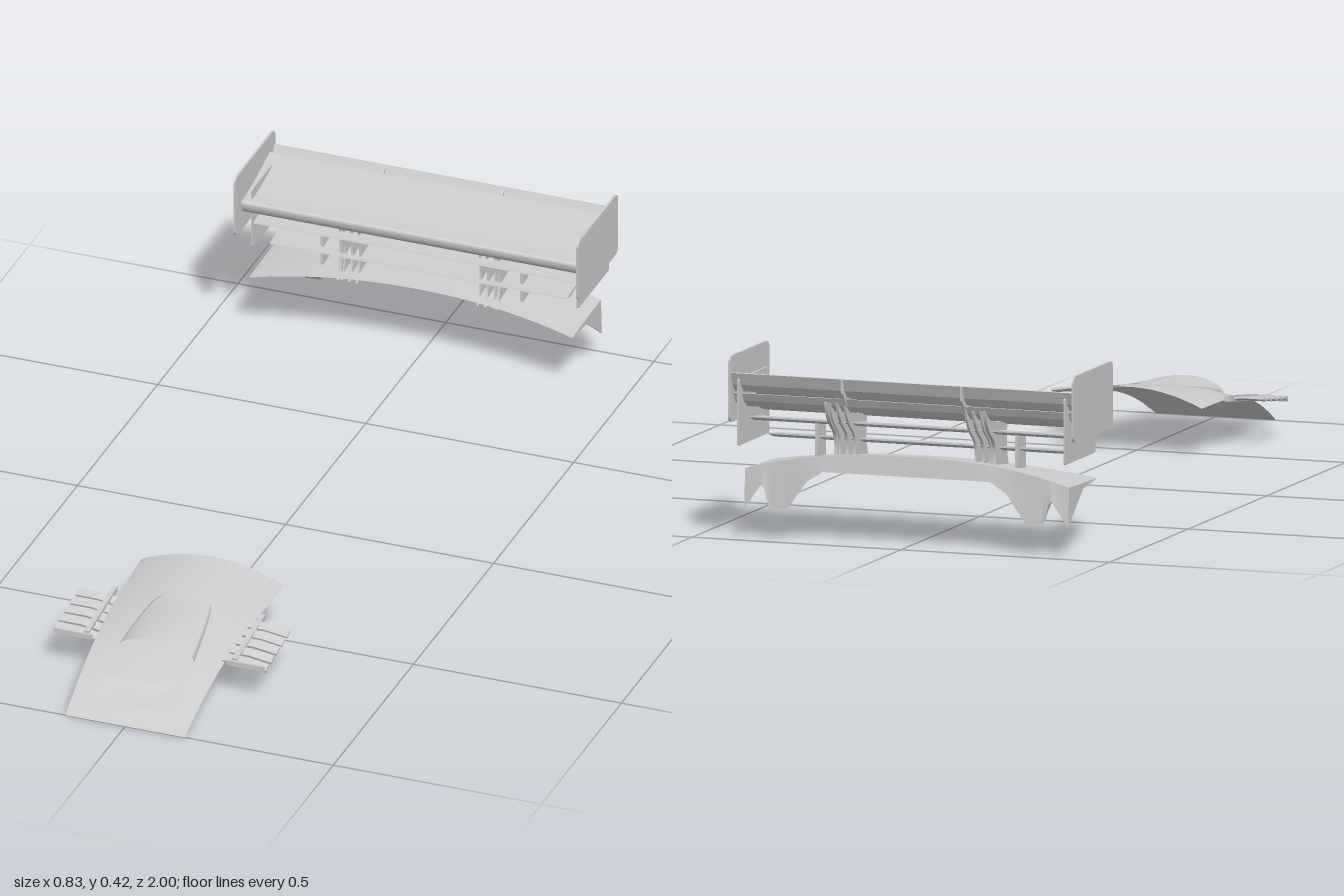
import * as THREE from 'three';
import { ParametricGeometry } from 'three/addons/geometries/ParametricGeometry.js';

const grey = new THREE.MeshStandardMaterial({ color: 0xcccccc, side: THREE.DoubleSide });
const { lerp } = THREE.MathUtils;

// Piecewise linear lookup through [position, value] pairs
function along(pts, t) {
  let i = 0;
  while (i < pts.length - 2 && t > pts[i + 1][0]) i++;
  const [a, b] = [pts[i], pts[i + 1]];
  return lerp(a[1], b[1], THREE.MathUtils.clamp((t - a[0]) / (b[0] - a[0]), 0, 1));
}

export function createModel() {
  const root = new THREE.Group();

  const add = (name, geometry, parent = root) => {
    const mesh = new THREE.Mesh(geometry, grey);
    mesh.name = name;
    parent.add(mesh);
    return mesh;
  };
  const group = (name) => {
    const g = new THREE.Group();
    g.name = name;
    root.add(g);
    return g;
  };
  // Surface from fn(u, v) -> [x, y, z]
  const sheet = (name, fn, nu, nv, parent) =>
    add(name, new ParametricGeometry((u, v, p) => p.set(...fn(u, v)), nu, nv), parent);
  // Side profile in (z, y) extruded across x
  const acrossX = (name, shape, width, x, parent) => {
    const g = new THREE.ExtrudeGeometry(shape, { depth: width, bevelEnabled: false, curveSegments: 10 });
    g.translate(0, 0, -width / 2).rotateY(-Math.PI / 2).translate(x, 0, 0);
    return add(name, g, parent);
  };
  const poly = (pts) => new THREE.Shape(pts.map((p) => new THREE.Vector2(...p)));
  const box = (name, w, h, d, x, y, z, parent) =>
    add(name, new THREE.BoxGeometry(w, h, d).translate(x, y, z), parent);

  // ---- Curved front hood with a crowned rear edge ----
  const hood = group('frontHood');
  const edge = new THREE.SplineCurve([[0.455, 0.113], [0.6, 0.108], [0.7, 0.099],
    [0.8, 0.08], [0.9, 0.048], [1, 0.003]].map((p) => new THREE.Vector2(...p)));
  const hoodPoint = (z, s) => {
    const u = (z - 0.455) / 0.545;
    let lo = 0, hi = 1;
    for (let i = 0; i < 20; i++) {
      const mid = (lo + hi) / 2;
      if (edge.getPoint(mid).x < z) lo = mid; else hi = mid;
    }
    const crown = 0.04 * Math.pow(1 - u, 1.2) * (1 - s * s);
    const dent = 0.004 * Math.exp(-Math.pow((z - 0.92) / 0.025, 4) - Math.pow(s / 0.55, 6));
    return [s * lerp(0.172, 0.143, u), edge.getPoint(lo).y + crown - dent, z];
  };
  sheet('hoodPanel', (u, v) => hoodPoint(lerp(0.455, 1, u), v * 2 - 1), 48, 32, hood);
  sheet('hoodUnderside', (u, v) => {
    const p = hoodPoint(lerp(0.455, 1, u), 1 - v * 2);
    return [p[0], p[1] - 0.003, p[2]];
  }, 48, 32, hood);

  // Scoop that opens forwards and fades back into the hood
  sheet('hoodScoop', (u, v) => {
    const z = lerp(0.62, 0.81, u), s = v * 2 - 1;
    const x = s * lerp(0.055, 0.093, Math.sqrt(u));
    const p = hoodPoint(z, x / 0.155);
    const rise = 0.034 * Math.pow(u, 1.3) * Math.pow(Math.max(0, 1 - s * s), 0.55);
    return [x, p[1] + 0.001 + rise, z];
  }, 20, 28, hood);

  // Side louvre banks
  for (const side of [-1, 1]) {
    const bank = group(side > 0 ? 'leftLouvres' : 'rightLouvres');
    for (let i = 0; i < 5; i++) {
      const z = 0.64 + i * 0.0335, y = 0.108 - i * 0.0045;
      const slat = new THREE.BoxGeometry(0.105, 0.005, 0.022, 4, 1, 1).rotateX(0.35);
      const pos = slat.attributes.position;
      for (let k = 0; k < pos.count; k++) {
        const out = Math.max(0, pos.getX(k));
        pos.setY(k, pos.getY(k) - out * 0.15);
      }
      slat.computeVertexNormals();
      slat.translate(0.202, y, z);
      if (side < 0) slat.rotateZ(0).translate(-0.404, 0, 0);
      add('louvreSlat', slat, bank);
    }
    const rail = box('louvreRail', 0.012, 0.014, 0.18, side * 0.178, 0, 0, bank);
    rail.position.set(0, 0.1, 0.69);
    rail.rotation.x = 0.13;
    box('louvreFrontBlade', 0.09, 0.012, 0.006, side * 0.207, 0.087, 0.787, bank);
  }

  // ---- Rear deck with flared ends and pointed lower corners ----
  const deck = group('rearDeck');
  const W = 0.387;
  const lower = [[0, 0.16], [0.2, 0.16], [0.24, 0.135], [0.285, 0.07], [0.328, 0.068],
    [0.345, 0.128], [W, 0.068]];
  const front = (x) => {
    const t = Math.abs(x) / W;
    return [x, 0.185 - 0.033 * Math.pow(t, 2.2), -0.81 + 0.03 * t * t];
  };
  const topRear = (x) => [x, 0.205 - 0.048 * Math.pow(Math.abs(x) / W, 2.5), -0.96];
  const lowRear = (x) => [x, along(lower, Math.abs(x)), -0.966];
  const belly = (x) => [x, front(x)[1] - 0.01, -0.87];
  const ruled = (name, a, b) => sheet(name, (u, v) => {
    const x = lerp(-W, W, v), p = a(x), q = b(x);
    return [x, lerp(p[1], q[1], u), lerp(p[2], q[2], u)];
  }, 4, 120, deck);
  ruled('deckTop', topRear, front);
  ruled('deckFascia', lowRear, topRear);
  ruled('deckUnderside', front, belly);
  ruled('deckRearUnderside', belly, lowRear);
  for (const s of [-1, 1]) {
    const ring = [front, topRear, lowRear, belly].map((f) => f(W)).map((p) => [p[2], p[1]]);
    acrossX('deckEnd', poly(ring), 0.003, s * W, deck);
  }

  // ---- Rear wing ----
  const wing = group('rearWing');
  const foil = new THREE.Shape();
  foil.moveTo(-0.792, 0.338);
  foil.quadraticCurveTo(-0.86, 0.345, -0.965, 0.374);
  foil.lineTo(-0.966, 0.368);
  foil.quadraticCurveTo(-0.88, 0.3, -0.825, 0.299);
  foil.quadraticCurveTo(-0.79, 0.304, -0.788, 0.33);
  foil.quadraticCurveTo(-0.788, 0.336, -0.792, 0.338);
  acrossX('mainPlane', foil, 0.82, 0, wing);

  // Steep rear flap and its small trim blades
  acrossX('rearFlap', poly([[-0.962, 0.335], [-0.968, 0.333], [-0.985, 0.35], [-0.997, 0.378],
    [-0.993, 0.379], [-0.98, 0.355]]), 0.82, 0, wing);
  acrossX('lowerFlap', poly([[-0.935, 0.3], [-0.945, 0.296], [-0.968, 0.312], [-0.978, 0.33],
    [-0.972, 0.33], [-0.96, 0.318]]), 0.82, 0, wing);

  // Slatted elements under the main plane
  const slats = [[0.78, 0.279, -0.84], [0.78, 0.264, -0.9], [0.715, 0.222, -0.86]];
  for (const [w, y, z] of slats) {
    acrossX('lowerElement', poly([[z + 0.03, y - 0.004], [z + 0.028, y], [z, y + 0.003],
      [z - 0.035, y + 0.008], [z - 0.035, y + 0.005], [z, y - 0.006]]), w, 0, wing);
  }

  const plate = (z0, z1, y0, y1, r) => {
    const s = new THREE.Shape();
    s.moveTo(z0, y0 + r);
    s.lineTo(z0, y1 - r);
    s.quadraticCurveTo(z0, y1, z0 + r, y1);
    s.lineTo(z1 - r, y1);
    s.quadraticCurveTo(z1, y1, z1, y1 - r);
    s.lineTo(z1, y0 + r);
    s.quadraticCurveTo(z1, y0, z1 - r, y0);
    s.lineTo(z0 + r, y0);
    s.quadraticCurveTo(z0, y0, z0, y0 + r);
    return s;
  };
  // Curved support that hooks up behind the wing
  const neck = new THREE.Shape();
  neck.moveTo(-0.82, 0.165);
  neck.lineTo(-0.92, 0.165);
  neck.quadraticCurveTo(-0.895, 0.22, -0.925, 0.25);
  neck.quadraticCurveTo(-0.965, 0.275, -0.975, 0.32);
  neck.lineTo(-0.955, 0.325);
  neck.quadraticCurveTo(-0.935, 0.29, -0.89, 0.285);
  neck.lineTo(-0.83, 0.3);
  neck.quadraticCurveTo(-0.855, 0.22, -0.82, 0.165);

  for (const s of [-1, 1]) {
    acrossX('endPlate', plate(-1, -0.75, 0.265, 0.416, 0.018), 0.005, s * 0.412, wing);
    acrossX('lowerEndPlate', plate(-0.998, -0.805, 0.214, 0.365, 0.006), 0.004, s * 0.391, wing);
    for (const [x, w] of [[0.19, 0.008], [0.181, 0.004], [0.163, 0.006], [0.145, 0.005]]) {
      acrossX('wingSupport', neck, w, s * x, wing);
    }
    box('outerStay', 0.007, 0.08, 0.05, s * 0.24, 0.216, -0.875, wing);
    box('wingBracket', 0.005, 0.02, 0.11, s * 0.391, 0.356, -0.87, wing);
    acrossX('flapRib', poly([[-0.945, 0.3], [-0.975, 0.315], [-0.996, 0.345], [-0.997, 0.378],
      [-0.985, 0.374], [-0.96, 0.362]]), 0.005, s * 0.143, wing);
  }
  return root;
}
